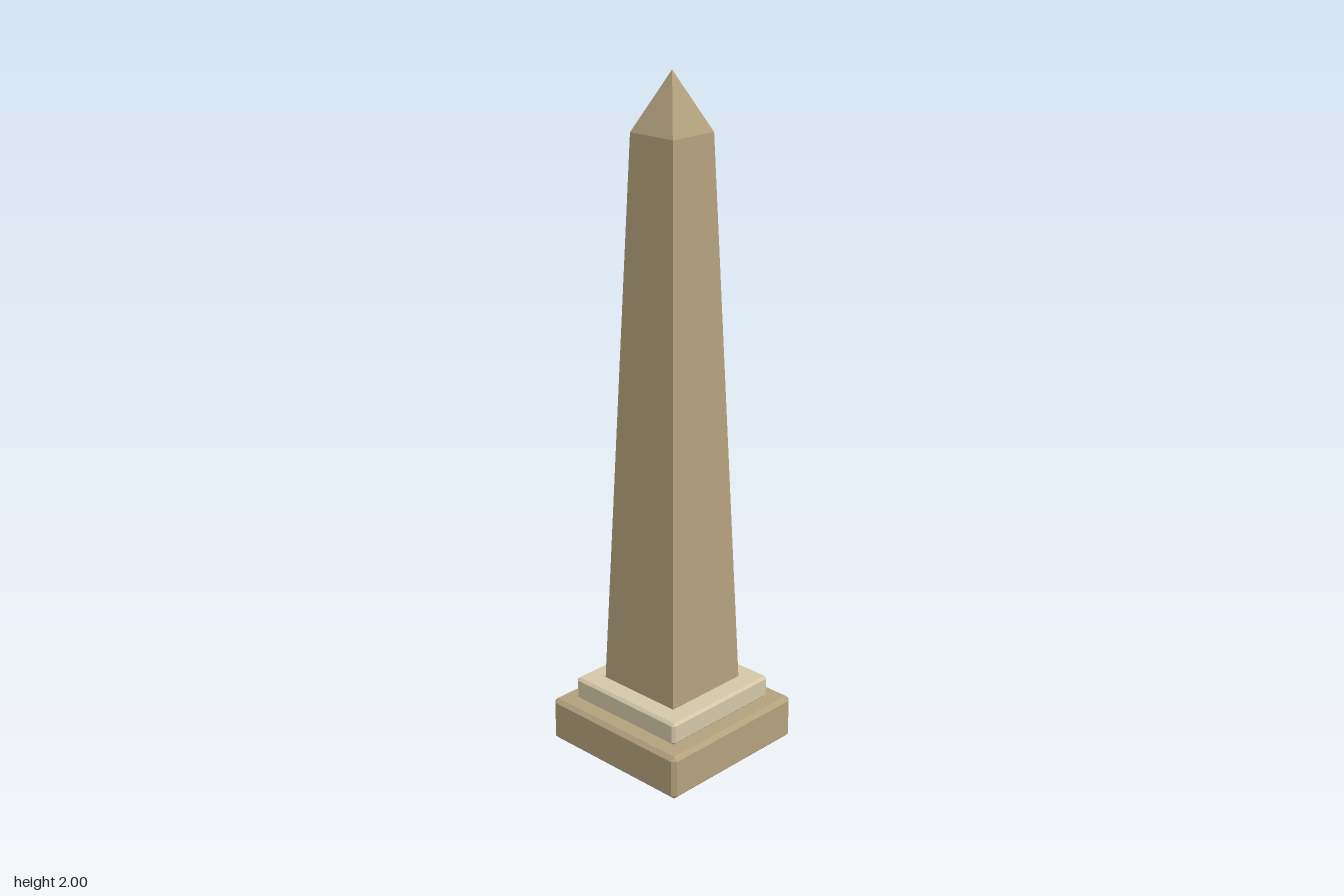
import * as THREE from 'three';
import { ConvexGeometry } from 'three/addons/geometries/ConvexGeometry.js';

// Box with flat chamfers on all edges, standing on y0
function chamferedBox(half, y0, y1, c) {
  const hy = (y1 - y0) / 2;
  const points = [];
  for (const sx of [-1, 1]) for (const sy of [-1, 1]) for (const sz of [-1, 1]) {
    // three points per corner, one on each adjoining face
    for (const [a, b, d] of [[0, c, c], [c, 0, c], [c, c, 0]]) {
      points.push(new THREE.Vector3(sx * (half - a), sy * (hy - b), sz * (half - d)));
    }
  }
  return new ConvexGeometry(points).translate(0, y0 + hy, 0);
}

// Four-sided tapered block with faces square to the axes
function taperedBlock(bottomHalf, topHalf, y0, y1, open) {
  const r = Math.SQRT2;
  return new THREE.CylinderGeometry(topHalf * r, bottomHalf * r, y1 - y0, 4, 1, open)
    .rotateY(Math.PI / 4)
    .translate(0, (y0 + y1) / 2, 0)
    .toNonIndexed();
}

export function createModel() {
  const sandstone = new THREE.MeshStandardMaterial({ color: 0xb3a17d });
  sandstone.name = 'sandstone';
  const paleStone = new THREE.MeshStandardMaterial({ color: 0xd3c7a7 });
  paleStone.name = 'pale stone';

  const group = new THREE.Group();
  group.name = 'obelisk';
  const add = (name, geometry, material) => {
    geometry.computeVertexNormals(); // flat facets
    const mesh = new THREE.Mesh(geometry, material);
    mesh.name = name;
    group.add(mesh);
  };

  // Stepped pedestal
  add('base', chamferedBox(0.253, 0, 0.136, 0.012), sandstone);
  add('plinth', chamferedBox(0.202, 0.136, 0.205, 0.008), paleStone);

  // Tapering shaft and its pointed cap
  add('shaft', taperedBlock(0.14, 0.079, 0.204, 1.835, true), sandstone);
  add('pointedCap', taperedBlock(0.079, 0, 1.835, 2, true), sandstone);

  return group;
}
